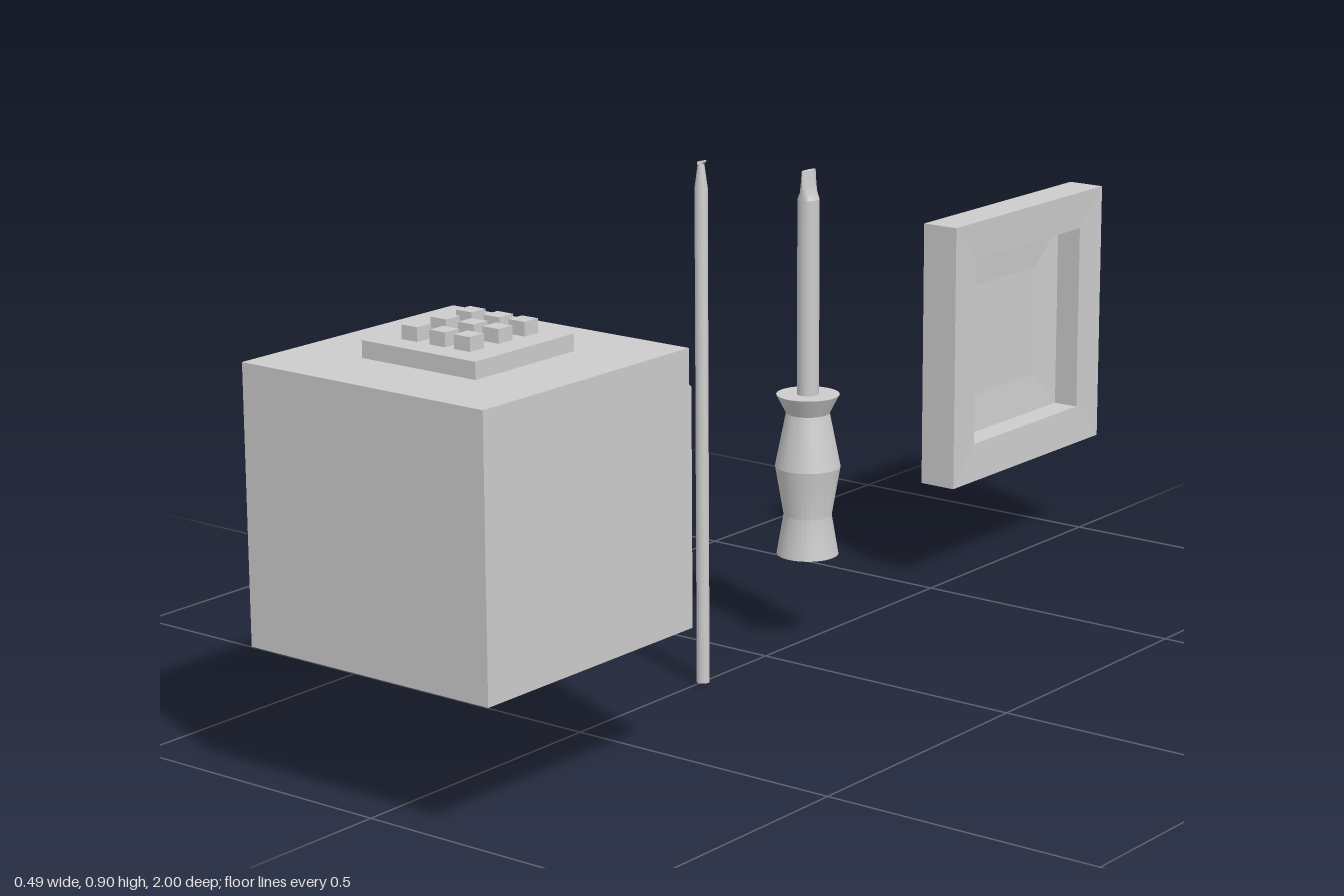
import * as THREE from 'three';
import { toCreasedNormals } from 'three/addons/utils/BufferGeometryUtils.js';

const smooth = new THREE.MeshStandardMaterial({ color: 0xcccccc });
const flat = new THREE.MeshStandardMaterial({ color: 0xcccccc, flatShading: true });

const pts = (list) => list.map(([x, y]) => new THREE.Vector2(x, y));

function add(parent, name, geometry, material, x = 0, y = 0, z = 0) {
  const mesh = new THREE.Mesh(geometry, material);
  mesh.name = name;
  mesh.position.set(x, y, z);
  parent.add(mesh);
}

function group(parent, name, z = 0) {
  const g = new THREE.Group();
  g.name = name;
  g.position.z = z;
  parent.add(g);
  return g;
}

const lathe = (profile, sides) =>
  toCreasedNormals(new THREE.LatheGeometry(pts(profile), sides), 0.35);

// Cube with a shallow lip along the top of its back, and a keypad on top
function buildKeypadBox(parent) {
  const g = group(parent, 'keypadBox');
  const side = new THREE.Shape(pts([
    [-1, 0.228], [-0.511, 0.228], [-0.511, 0.62], [-0.517, 0.625], [-0.517, 0.683], [-1, 0.683],
  ]));
  const body = new THREE.ExtrudeGeometry(side, { depth: 0.486, bevelEnabled: false });
  body.translate(0, 0, -0.243).rotateY(Math.PI / 2);
  add(g, 'boxBody', body, flat);
  add(g, 'keypadPlate', new THREE.BoxGeometry(0.23, 0.028, 0.23), flat, 0, 0.697, 0.755);
  for (const x of [-0.055, 0.002, 0.052]) {
    for (const z of [0.686, 0.746, 0.812]) {
      add(g, 'keypadButton', new THREE.BoxGeometry(0.032, 0.024, 0.032), flat, x, 0.722, z);
    }
  }
}

// Slim rod tapering to a small bent tip
function buildPick(parent) {
  const g = group(parent, 'pick', 0.175);
  add(g, 'pickRod', lathe([
    [0, 0], [0.011, 0], [0.011, 0.852], [0.0055, 0.892], [0, 0.895],
  ], 16), smooth);
  const hook = new THREE.CylinderGeometry(0.0015, 0.005, 0.016, 12);
  hook.rotateZ(-1.1);
  add(g, 'pickHook', hook, smooth, 0.003, 0.894, 0);
}

// Waisted handle, round shaft and flattened blade
function buildScrewdriver(parent) {
  const g = group(parent, 'screwdriver', -0.121);
  add(g, 'handle', lathe([
    [0, 0.157], [0.054, 0.157], [0.042, 0.228], [0.057, 0.315],
    [0.038, 0.41], [0.055, 0.443], [0, 0.443],
  ], 32), smooth);
  add(g, 'shaft', new THREE.CylinderGeometry(0.019, 0.019, 0.345, 20, 1, true), smooth, 0, 0.6125, 0);

  // The blade keeps its width in z while thinning in x
  const blade = new THREE.CylinderGeometry(0.019, 0.019, 0.05, 20, 4);
  const p = blade.attributes.position;
  for (let i = 0; i < p.count; i++) {
    const t = THREE.MathUtils.clamp(p.getY(i) / 0.05 + 0.5, 0, 1);
    p.setX(i, p.getX(i) * (1 - 0.72 * Math.sqrt(t)));
  }
  add(g, 'blade', toCreasedNormals(blade, 0.6), smooth, 0, 0.81, 0);
}

// Square panel with a deep, slightly dished recess on its left side
function buildPanel(parent) {
  const profile = [
    [0, -0.035], [0.2415, -0.035], [0.2415, 0.035], [0.172, 0.032],
    [0.172, -0.016], [0.104, -0.021], [0, -0.021],
  ].map(([half, depth]) => [half * Math.SQRT2, depth]);
  const panel = new THREE.LatheGeometry(pts(profile), 4);
  panel.rotateY(Math.PI / 4).rotateZ(-Math.PI / 2);
  add(parent, 'recessedPanel', panel, flat, 0, 0.431, -0.7585);
}

export function createModel() {
  const model = new THREE.Group();
  model.name = 'toolSet';
  buildKeypadBox(model);
  buildPick(model);
  buildScrewdriver(model);
  buildPanel(model);
  return model;
}
